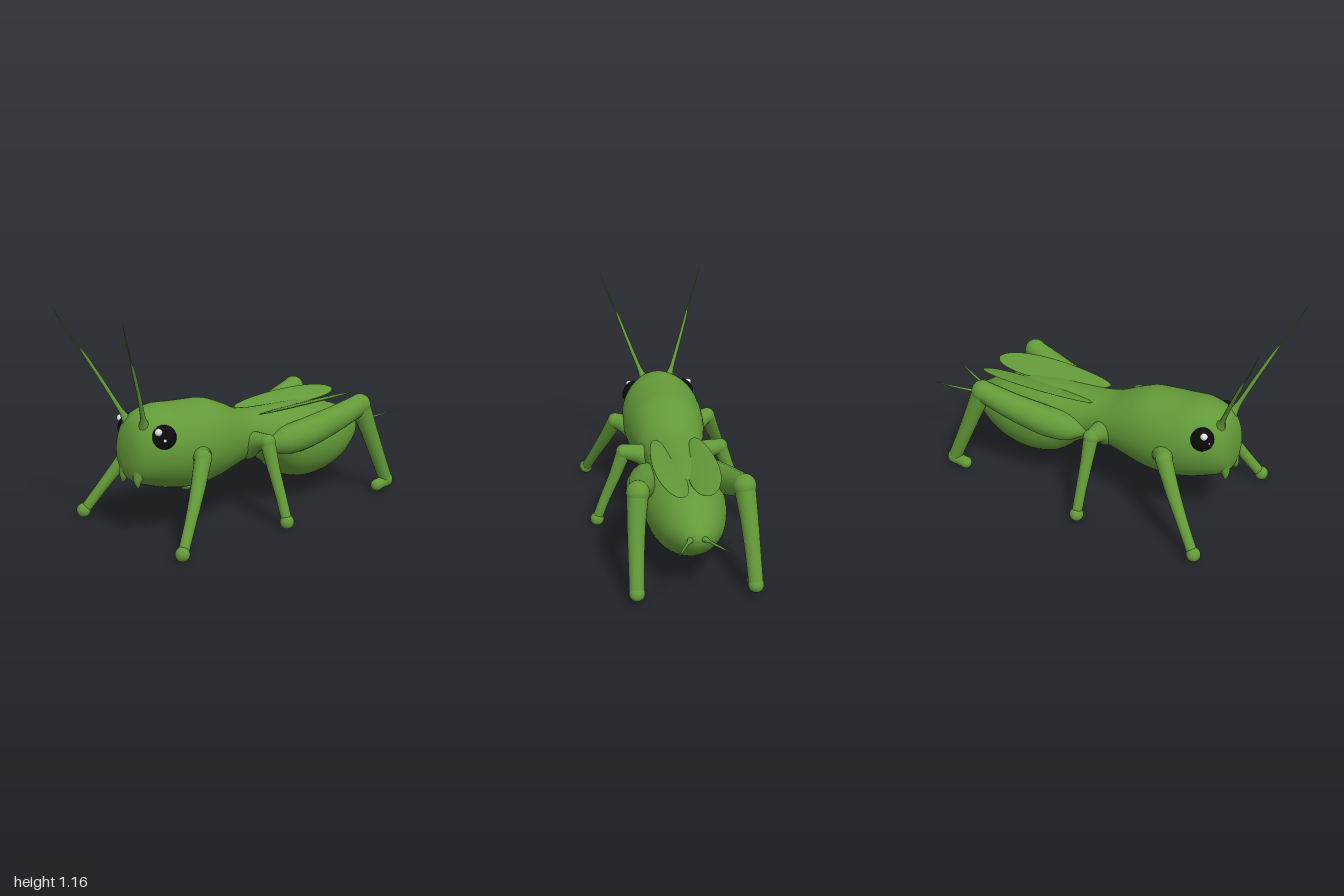
import * as THREE from 'three';

const green = new THREE.MeshStandardMaterial({ color: 0x639a38 });
green.name = 'leafGreen';
const black = new THREE.MeshStandardMaterial({ color: 0x0a0a0c });
black.name = 'eyeBlack';
const white = new THREE.MeshStandardMaterial({ color: 0xe0e0e0 });
white.name = 'glintWhite';

function add(parent, name, geometry, material = green) {
  const mesh = new THREE.Mesh(geometry, material);
  mesh.name = name;
  parent.add(mesh);
  return mesh;
}

// Closed skin over rings * sides; ringPoint(i, angle) gives each vertex
function skin(rings, sides, ringPoint) {
  const pos = [], idx = [];
  for (let i = 0; i < rings; i++) {
    for (let j = 0; j < sides; j++) pos.push(...ringPoint(i, (j / sides) * Math.PI * 2).toArray());
  }
  for (let i = 0; i < rings - 1; i++) {
    for (let j = 0; j < sides; j++) {
      const k = (j + 1) % sides;
      const a = i * sides + j, b = i * sides + k, c = a + sides, d = b + sides;
      idx.push(a, b, c, b, d, c);
    }
  }
  const g = new THREE.BufferGeometry();
  g.setAttribute('position', new THREE.Float32BufferAttribute(pos, 3));
  g.setIndex(idx);
  g.computeVertexNormals();
  return g;
}

// Tapered round limb through [x, y, z, radius] points
function limb(points, ref, sides = 16) {
  const path = new THREE.CatmullRomCurve3(points.map((p) => new THREE.Vector3(p[0], p[1], p[2])), false, 'catmullrom', 0.4);
  const radii = new THREE.CatmullRomCurve3(points.map((p) => new THREE.Vector3(p[3], 0, 0)), false, 'catmullrom', 0.4);
  const n = (points.length - 1) * 8;
  return skin(n + 1, sides, (i, a) => {
    const t = path.getTangent(i / n);
    const u = new THREE.Vector3().crossVectors(t, ref).normalize();
    const v = new THREE.Vector3().crossVectors(t, u);
    const r = Math.max(radii.getPoint(i / n).x, 0);
    return path.getPoint(i / n).addScaledVector(u, r * Math.cos(a)).addScaledVector(v, r * Math.sin(a));
  });
}

function ball(parent, name, x, y, z, r, material = green) {
  const mesh = add(parent, name, new THREE.SphereGeometry(r, 20, 14), material);
  mesh.position.set(x, y, z);
  return mesh;
}

const X = new THREE.Vector3(1, 0, 0);
const Z = new THREE.Vector3(0, 0, 1);

// Body sections: z, bottom, top, half width
const BODY = [
  [0.797, 0.42, 0.42, 0], [0.795, 0.37, 0.47, 0.05], [0.78, 0.32, 0.55, 0.1],
  [0.75, 0.29, 0.61, 0.135], [0.7, 0.268, 0.645, 0.172], [0.6, 0.235, 0.665, 0.21],
  [0.5, 0.215, 0.657, 0.222], [0.4, 0.209, 0.651, 0.219], [0.3, 0.22, 0.642, 0.205],
  [0.2, 0.247, 0.602, 0.185], [0.1, 0.272, 0.555, 0.165], [0, 0.275, 0.535, 0.15],
  [-0.1, 0.22, 0.527, 0.165], [-0.2, 0.14, 0.522, 0.195], [-0.3, 0.106, 0.518, 0.21],
  [-0.4, 0.101, 0.508, 0.205], [-0.5, 0.116, 0.49, 0.188], [-0.6, 0.155, 0.462, 0.155],
  [-0.7, 0.22, 0.405, 0.1], [-0.75, 0.28, 0.365, 0.05], [-0.765, 0.325, 0.325, 0],
];

function bodyGeometry() {
  const size = new THREE.CatmullRomCurve3(BODY.map(([, b, t, w]) => new THREE.Vector3(w, (t - b) / 2, 0)), false, 'catmullrom', 0.5);
  const centre = new THREE.CatmullRomCurve3(BODY.map(([z, b, t]) => new THREE.Vector3(0, (t + b) / 2, z)), false, 'catmullrom', 0.5);
  const n = (BODY.length - 1) * 4;
  return skin(n + 1, 48, (i, a) => {
    const s = size.getPoint(i / n), c = centre.getPoint(i / n);
    return new THREE.Vector3(Math.max(s.x, 0) * Math.cos(a), c.y - Math.max(s.y, 0) * Math.sin(a), c.z);
  });
}

// Thin leaf, broader toward the rear
function wingGeometry() {
  const g = new THREE.SphereGeometry(1, 24, 24);
  g.rotateX(Math.PI / 2);
  const p = g.attributes.position;
  for (let i = 0; i < p.count; i++) {
    const z = p.getZ(i);
    p.setXYZ(i, p.getX(i) * 0.08 * (1 - 0.25 * z), p.getY(i) * 0.008, z * 0.345);
  }
  g.computeVertexNormals();
  return g;
}

function buildSide(root, s) {
  const side = s > 0 ? 'left' : 'right';
  const mirror = (pts) => pts.map(([x, y, z, r]) => [s * x, y, z, r]);
  const group = (name) => {
    const g = new THREE.Group();
    g.name = side + name;
    root.add(g);
    return g;
  };

  // Eye with two glints
  const eye = group('Eye');
  const globe = ball(eye, 'eyeball', s * 0.158, 0.54, 0.678, 0.06, black);
  globe.scale.set(1, 1, 0.55);
  globe.lookAt(s * 0.158 + s * 0.78, 0.54 + 0.35, 0.678 + 0.52);
  ball(eye, 'largeGlint', s > 0 ? 0.158 : -0.178, 0.57, s > 0 ? 0.712 : 0.695, 0.019, white);
  ball(eye, 'smallGlint', s > 0 ? 0.186 : -0.162, 0.531, s > 0 ? 0.694 : 0.714, 0.009, white);

  // Antenna, mouthpart and tail bristle
  add(root, side + 'Antenna', limb(mirror([
    [0.065, 0.575, 0.725, 0.035], [0.09, 0.635, 0.752, 0.014], [0.14, 0.765, 0.81, 0.01],
    [0.19, 0.9, 0.874, 0.008], [0.215, 0.965, 0.908, 0.003], [0.26, 1.07, 0.962, 0.003], [0.29, 1.16, 1, 0.001],
  ]), X, 8));
  add(root, side + 'Mouthpart', limb(mirror([
    [0.055, 0.35, 0.755, 0.035], [0.058, 0.315, 0.768, 0.022], [0.062, 0.288, 0.77, 0.01], [0.063, 0.274, 0.768, 0],
  ]), X, 12));
  add(root, side + 'TailBristle', limb(mirror([
    [0.025, 0.325, -0.73, 0.022], [0.05, 0.335, -0.79, 0.009], [0.09, 0.352, -0.89, 0.006], [0.13, 0.375, -1, 0.001],
  ]), X, 8));

  // Front leg
  const front = group('FrontLeg');
  add(front, 'hip', limb(mirror([[0.13, 0.38, 0.45, 0.07], [0.2, 0.415, 0.485, 0.055], [0.26, 0.43, 0.52, 0.042]]), Z));
  ball(front, 'shoulder', s * 0.26, 0.428, 0.52, 0.044);
  add(front, 'shin', limb(mirror([
    [0.26, 0.428, 0.52, 0.043], [0.31, 0.3, 0.595, 0.036], [0.365, 0.165, 0.685, 0.029], [0.412, 0.04, 0.77, 0.027],
  ]), X));
  ball(front, 'foot', s * 0.414, 0.038, 0.775, 0.037);

  // Middle leg
  const middle = group('MiddleLeg');
  add(middle, 'hip', limb(mirror([[0.1, 0.38, 0.1, 0.08], [0.18, 0.41, 0.1, 0.052], [0.26, 0.425, 0.1, 0.04]]), Z));
  ball(middle, 'shoulder', s * 0.26, 0.425, 0.1, 0.042);
  add(middle, 'shin', limb(mirror([
    [0.26, 0.425, 0.1, 0.04], [0.31, 0.29, 0.1, 0.032], [0.365, 0.16, 0.1, 0.028], [0.41, 0.04, 0.1, 0.027],
  ]), Z));
  ball(middle, 'foot', s * 0.41, 0.038, 0.1, 0.037);

  // Jumping leg
  const hind = group('HindLeg');
  add(hind, 'thigh', limb(mirror([
    [0.12, 0.36, -0.01, 0.03], [0.16, 0.37, -0.1, 0.072], [0.195, 0.395, -0.22, 0.08],
    [0.235, 0.45, -0.4, 0.07], [0.262, 0.507, -0.56, 0.057],
  ]), X));
  ball(hind, 'knee', s * 0.263, 0.507, -0.562, 0.059);
  add(hind, 'shin', limb(mirror([
    [0.263, 0.507, -0.562, 0.055], [0.278, 0.36, -0.62, 0.046], [0.288, 0.2, -0.685, 0.04], [0.294, 0.058, -0.745, 0.037],
  ]), X));
  ball(hind, 'heel', s * 0.294, 0.054, -0.748, 0.04);
  add(hind, 'foot', limb(mirror([[0.294, 0.05, -0.75, 0.037], [0.295, 0.042, -0.71, 0.032], [0.296, 0.036, -0.675, 0.032]]), X));
  ball(hind, 'toe', s * 0.296, 0.036, -0.675, 0.033);

  // Wing, outer edge lifted
  const wing = add(root, side + 'Wing', wingGeometry());
  wing.position.set(s * 0.088, 0.521, -0.332);
  wing.rotation.set(0, s * 0.035, s * 0.28);
}

export function createModel() {
  const root = new THREE.Group();
  root.name = 'grasshopper';
  add(root, 'body', bodyGeometry());
  for (const s of [1, -1]) buildSide(root, s);
  return root;
}
